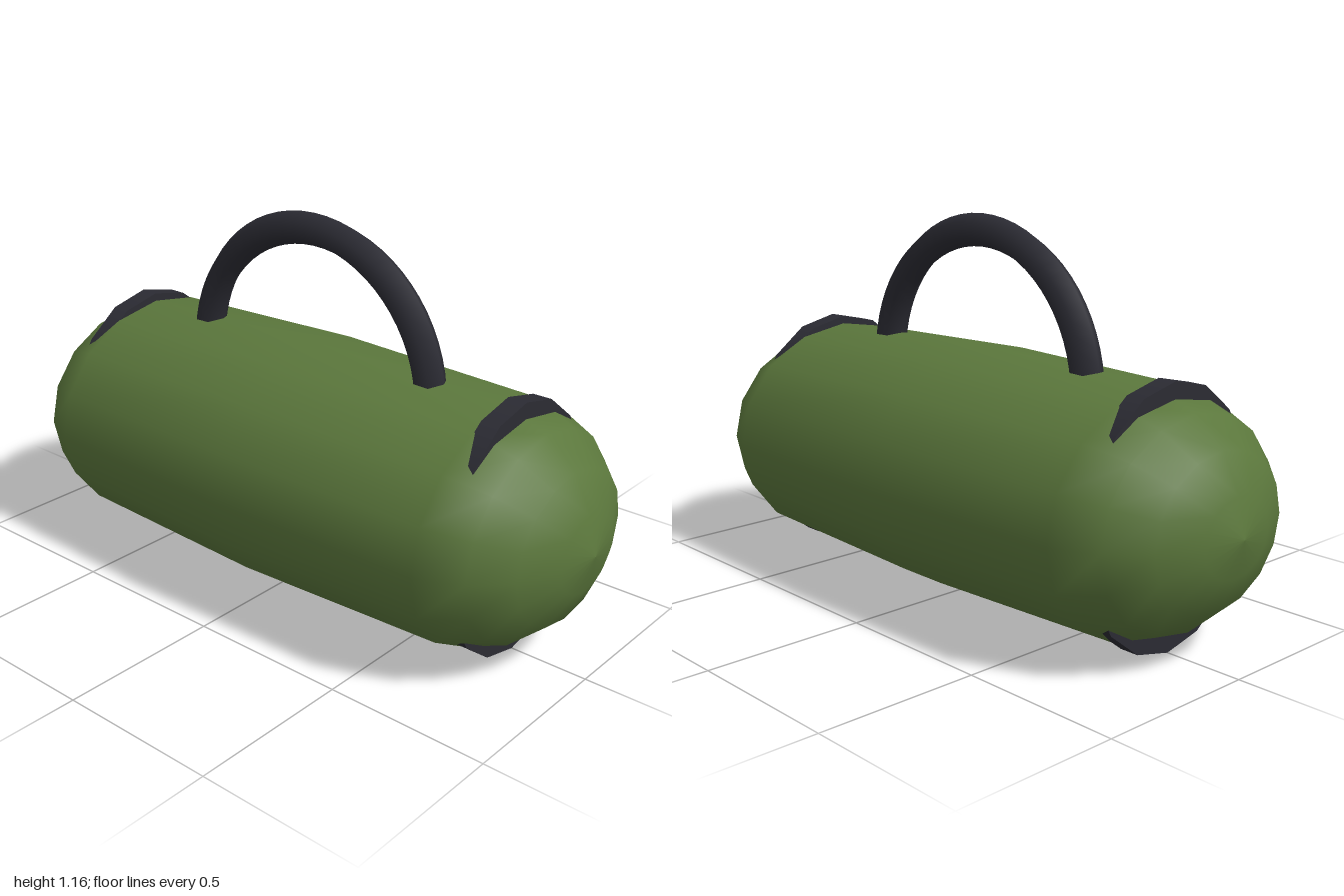
import * as THREE from 'three';

export function createModel() {
  const model = new THREE.Group();
  model.name = 'duffelBag';
  const canvas = new THREE.MeshStandardMaterial({ name: 'green canvas', color: 0x5b773c });
  const webbing = new THREE.MeshStandardMaterial({ name: 'dark webbing', color: 0x2b2b33 });
  const centreY = 0.387;

  const add = (name, geometry, material, x, y) => {
    const mesh = new THREE.Mesh(geometry, material);
    mesh.name = name;
    mesh.position.set(x, y, 0);
    model.add(mesh);
    return mesh;
  };

  // Bag body: rounded ends and a slight bulge at the middle, flattened in height
  const half = [[0.695, 0.42], [0.825, 0.36], [0.92, 0.262], [0.975, 0.134], [1, 0]];
  const profile = [
    ...half.slice().reverse().map(([x, r]) => new THREE.Vector2(r, -x)),
    new THREE.Vector2(0.442, 0),
    ...half.map(([x, r]) => new THREE.Vector2(r, x)),
  ];
  const body = new THREE.LatheGeometry(profile, 16);
  body.rotateZ(-Math.PI / 2);
  body.scale(1, 0.85, 1);
  add('bagBody', body, canvas, 0, centreY);

  // Carry handle: hexagonal tube bent in a half circle, ends sunk in the body
  add('carryHandle', new THREE.TorusGeometry(0.44, 0.05, 6, 32, Math.PI), webbing, 0, 0.672);

  // End bands: narrow hoops showing at the top and bottom of each end
  for (const side of [-1, 1]) {
    const band = new THREE.CylinderGeometry(1, 1, 0.06, 16);
    band.rotateZ(-Math.PI / 2);
    band.scale(1, 0.384, 0.332);
    add(side > 0 ? 'leftBand' : 'rightBand', band, webbing, side * 0.727, centreY - 0.002);
  }

  return model;
}
